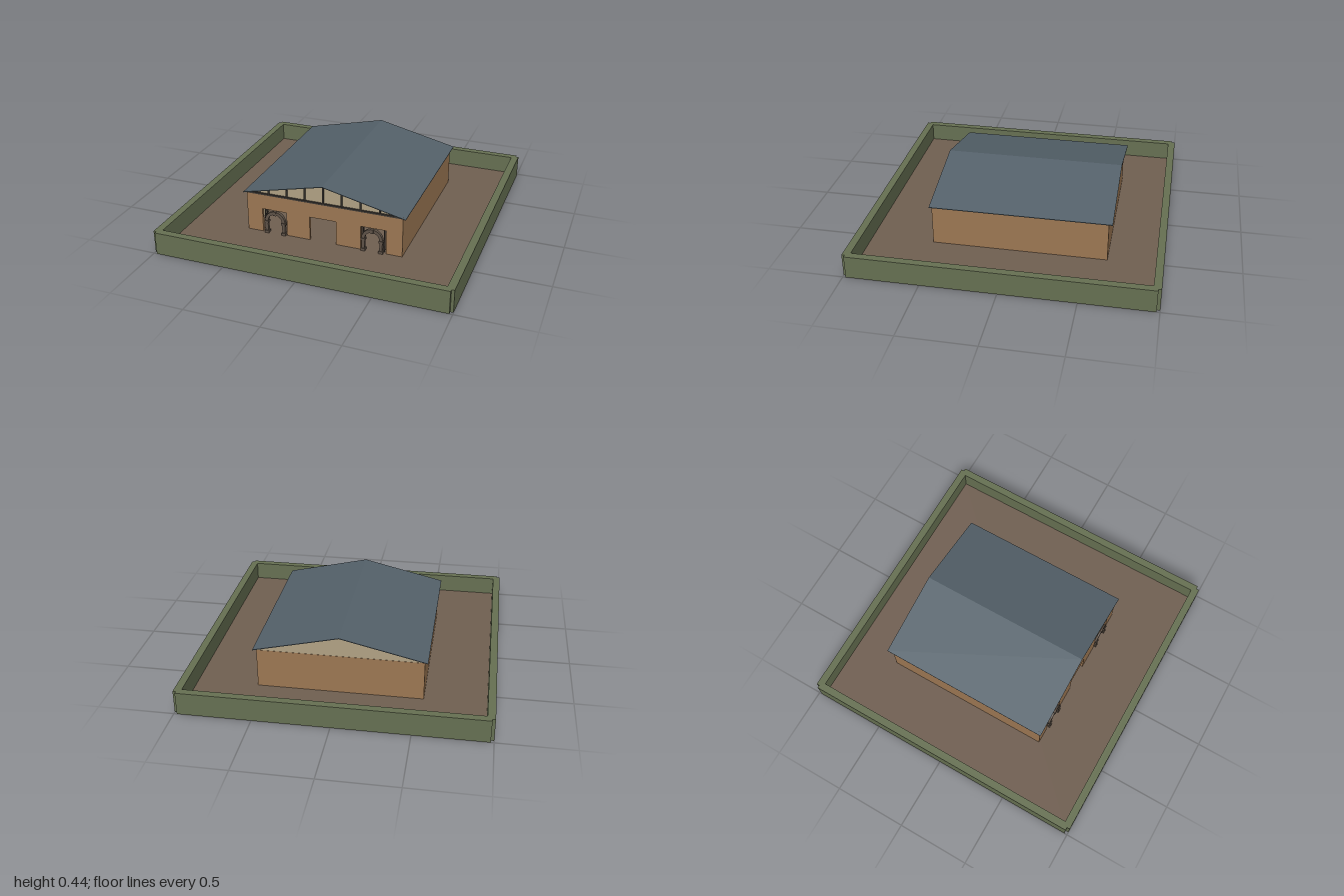
import * as THREE from 'three';

const paint = (name, color) => Object.assign(new THREE.MeshStandardMaterial({ color }), { name });

export function createModel() {
  const model = new THREE.Group();
  const hedge = paint('hedge green', 0x667052);
  const earth = paint('earth brown', 0x705f51);
  const clay = paint('clay brown', 0x9c7753);
  const plaster = paint('plaster beige', 0xb1a284);
  const slate = paint('slate grey', 0x54616a);
  const timber = paint('dark timber', 0x3d3833);
  const stone = paint('brown stone', 0x5e5247);

  const add = (name, geometry, material, parent = model) => {
    const mesh = new THREE.Mesh(geometry, material);
    mesh.name = name;
    parent.add(mesh);
    return mesh;
  };
  // Box given by its lower and upper limits on each axis
  const box = (name, x0, x1, y0, y1, z0, z1, material, parent) => {
    const mesh = add(name, new THREE.BoxGeometry(x1 - x0, y1 - y0, z1 - z0), material, parent);
    mesh.position.set((x0 + x1) / 2, (y0 + y1) / 2, (z0 + z1) / 2);
    return mesh;
  };
  const shapeOf = (pts) => new THREE.Shape(pts.map(([x, y]) => new THREE.Vector2(x, y)));
  // Outline in x and y, pushed from z0 to z1
  const slab = (name, shape, z0, z1, material, parent) => {
    const geometry = new THREE.ExtrudeGeometry(shape, { depth: z1 - z0, bevelEnabled: false, curveSegments: 16 });
    return add(name, geometry.translate(0, 0, z0), material, parent);
  };

  // Enclosing hedge with notched corners
  const n = 0.98;
  const ring = shapeOf([
    [-n, -1], [n, -1], [n, -n], [1, -n], [1, n], [n, n],
    [n, 1], [-n, 1], [-n, n], [-1, n], [-1, -n], [-n, -n],
  ]);
  const h = 0.95;
  ring.holes.push(shapeOf([[-h, -h], [-h, h], [h, h], [h, -h]]));
  const hedgeMesh = slab('hedge', ring, 0, 0.155, hedge);
  hedgeMesh.rotation.x = -Math.PI / 2;

  // Yard
  box('ground', -h, h, 0.02, 0.028, -h, h, earth);

  // House walls; the front has a doorway and two side openings
  const W = 0.545, zf = 0.53, zb = -0.635, t = 0.02, foot = 0.016, top = 0.295, head = 0.198;
  const house = new THREE.Group();
  house.name = 'house';
  model.add(house);
  const openings = [[-0.435, -0.26], [-0.095, 0.09], [0.26, 0.435]];
  const front = [[-W, foot]];
  for (const [a, b] of openings) front.push([a, foot], [a, head], [b, head], [b, foot]);
  front.push([W, foot], [W, 0.302], [-W, 0.302]);
  slab('frontWall', shapeOf(front), zf - t, zf, clay, house);
  box('backWall', -W, W, foot, top, zb, zb + t, clay, house);
  box('backLining', -W + t, W - t, 0.028, top, zb + t, zb + t + 0.004, plaster, house);
  for (const s of [-1, 1]) {
    const a = s * W, b = s * (W - t), c = s * (W - t - 0.004);
    box('sideWall', Math.min(a, b), Math.max(a, b), foot, top, zb + t, zf - t, clay, house);
    box('sideLining', Math.min(b, c), Math.max(b, c), 0.028, top, zb + t + 0.004, zf - t, plaster, house);
  }

  // Roof line and plaster gables
  const R = 0.565, ridge = 0.44, eave = 0.308;
  const roofY = (x) => ridge - (ridge - eave) * Math.abs(x) / R;
  const gable = shapeOf([[-W, top], [W, top], [W, roofY(W) - 0.004], [0, ridge - 0.004], [-W, roofY(W) - 0.004]]);
  slab('frontGable', gable, zf - t + 0.002, zf - 0.012, plaster, house);
  slab('backGable', gable, zb + 0.002, zb + t, plaster, house);

  // Thin pitched roof
  slab('roof', shapeOf([
    [-R, eave - 0.004], [0, ridge - 0.004], [R, eave - 0.004], [R, eave], [0, ridge], [-R, eave],
  ]), -0.66, 0.543, slate, house);

  // Cross beams between the long walls and the roof
  for (const z of [0.48, 0.19, -0.09, -0.305, -0.375, -0.57, -0.62])
    box('crossBeam', -W, W, top, 0.31, z - 0.01, z + 0.01, timber, house);
  box('frontBeam', -W, W, 0.302, 0.313, 0.512, 0.531, timber, house);

  // Studs on the front gable
  for (let i = -3; i <= 3; i++) {
    const x = i * 0.129;
    box('gableStud', x - 0.005, x + 0.005, 0.31, roofY(x) - 0.006, 0.516, 0.528, timber, house);
  }

  // Stone arches standing before the side openings
  const springY = 0.12, outer = 0.072, inner = 0.05;
  for (const s of [-1, 1]) {
    const arch = new THREE.Group();
    arch.name = 'stoneArch';
    arch.position.x = s * 0.342;
    house.add(arch);
    const band = new THREE.Shape();
    band.absarc(0, springY, outer, 0, Math.PI, false);
    band.absarc(0, springY, inner, Math.PI, 0, true);
    slab('archBand', band, 0.518, 0.54, stone, arch);
    box('keystone', -0.01, 0.01, springY + inner - 0.004, springY + outer + 0.003, 0.516, 0.544, stone, arch);
    for (const p of [-1, 1]) {
      const x = p * (outer + inner) / 2;
      box('pillar', x - 0.01, x + 0.01, 0.028, springY, 0.518, 0.54, stone, arch);
      box('capital', x - 0.015, x + 0.015, springY - 0.014, springY, 0.514, 0.545, stone, arch);
      box('pedestal', x - 0.015, x + 0.015, 0.028, 0.046, 0.514, 0.545, stone, arch);
    }
    // Upright bars behind the outer edge of the opening
    for (const x of [-0.082, -0.068, 0.075])
      box('openingBar', x - 0.004, x + 0.004, 0.028, head, 0.5, 0.51, timber, arch);
  }
  return model;
}
